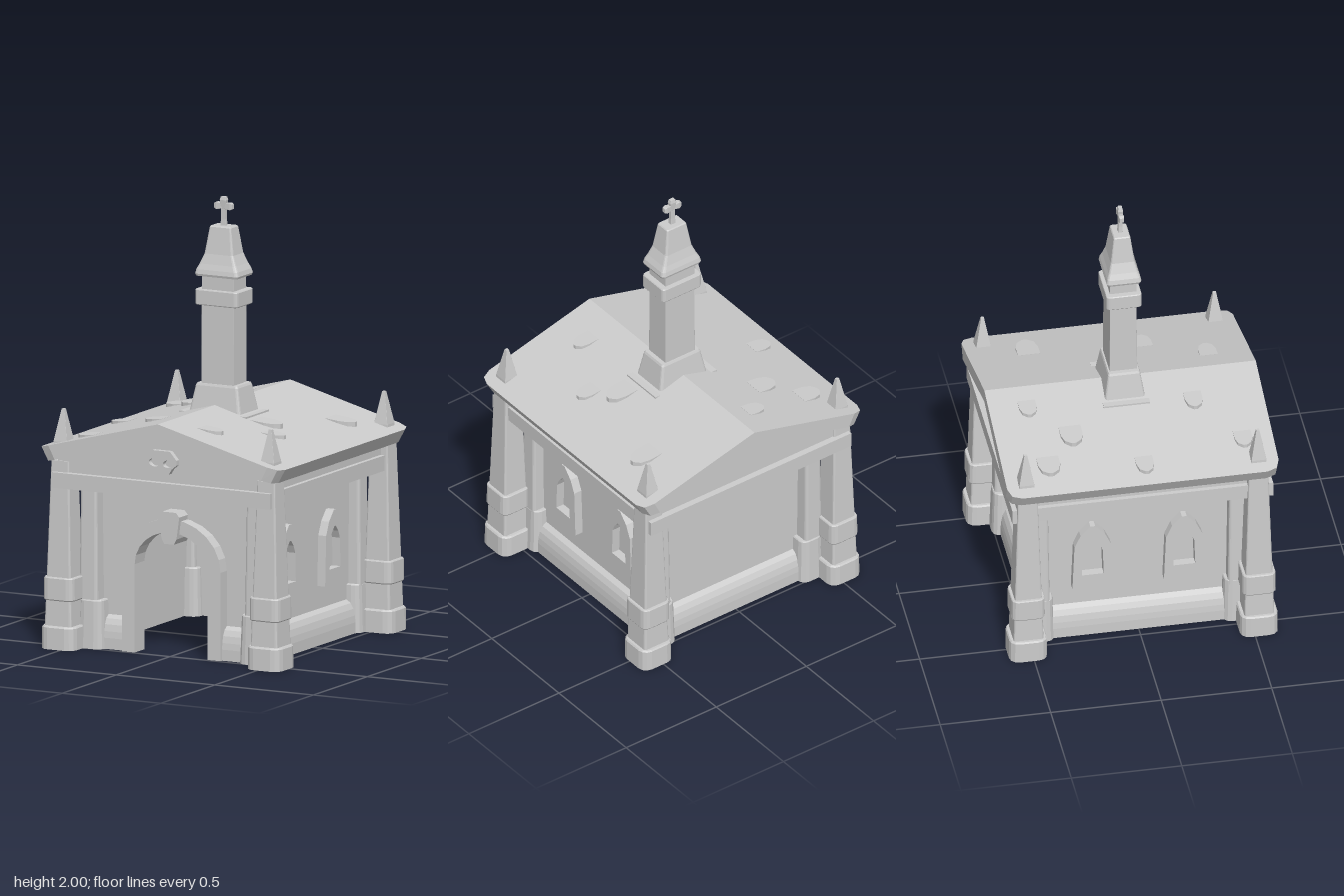
import * as THREE from 'three';

const material = new THREE.MeshStandardMaterial({ color: 0xcccccc, flatShading: true, side: THREE.DoubleSide });

function add(parent, name, geometry, x = 0, y = 0, z = 0) {
  const mesh = new THREE.Mesh(geometry, material);
  mesh.name = name;
  mesh.position.set(x, y, z);
  parent.add(mesh);
  return mesh;
}

// Skin a stack of rings of [x, y, z] points, bottom to top, with both ends closed
function loft(rings) {
  const out = [];
  const tri = (a, b, c) => out.push(...a, ...b, ...c);
  const n = rings[0].length;
  for (let r = 0; r < rings.length - 1; r++) {
    const a = rings[r], b = rings[r + 1];
    for (let i = 0; i < n; i++) {
      const j = (i + 1) % n;
      tri(a[i], a[j], b[j]);
      tri(a[i], b[j], b[i]);
    }
  }
  const lo = rings[0], hi = rings[rings.length - 1];
  for (let i = 1; i < n - 1; i++) {
    tri(lo[0], lo[i + 1], lo[i]);
    tri(hi[0], hi[i], hi[i + 1]);
  }
  const g = new THREE.BufferGeometry();
  g.setAttribute('position', new THREE.Float32BufferAttribute(out, 3));
  g.computeVertexNormals();
  return g;
}

// Rounded-corner rectangular stack from [y, halfWidth, halfDepth] levels
function stack(levels, round = 0.15) {
  return loft(levels.map(([y, w, d = w]) => {
    const r = Math.min(w, d) * round;
    const ring = [];
    for (const [sx, sz, start] of [[1, 1, 90], [1, -1, 0], [-1, -1, -90], [-1, 1, -180]]) {
      for (let i = 0; i <= 3; i++) {
        const a = THREE.MathUtils.degToRad(start - i * 30);
        ring.push([sx * (w - r) + r * Math.cos(a), y, sz * (d - r) + r * Math.sin(a)]);
      }
    }
    return ring;
  }));
}

const polygon = (pts) => new THREE.Shape(pts.map(([x, y]) => new THREE.Vector2(x, y)));
const extrude = (shape, depth) => new THREE.ExtrudeGeometry(shape, { depth, bevelEnabled: false, curveSegments: 12 });

// Round-headed door outline
function archPoints(w, spring, top) {
  const pts = [[w, 0]];
  for (let i = 0; i <= 12; i++) {
    const a = Math.PI * i / 12;
    pts.push([w * Math.cos(a), spring + (top - spring) * Math.sin(a)]);
  }
  pts.push([-w, 0]);
  return pts;
}

// Pointed window outline
const windowPoints = (w, y0, y1) => {
  const h = y1 - y0;
  return [[-w, y0], [w, y0], [w * 0.9, y0 + h * 0.68], [w * 0.6, y0 + h * 0.86], [w * 0.12, y1],
    [-w * 0.12, y1], [-w * 0.6, y0 + h * 0.86], [-w * 0.9, y0 + h * 0.68]];
};

const SLOPE = 0.262, RIDGE = 1.07;
const roofY = (x) => RIDGE - SLOPE * Math.abs(x);

function addCorners(model) {
  for (const sx of [-1, 1]) for (const sz of [-1, 1]) {
    const corner = new THREE.Group();
    corner.name = 'corner';
    model.add(corner);
    const x = 0.522 * sx, z = 0.522 * sz;
    add(corner, 'column', stack([[0, 0.071], [0.85, 0.045]]), x, 0, z);
    add(corner, 'columnBase', stack([[0, 0.086], [0.098, 0.085], [0.105, 0.08]], 0.5), x, 0, z);
    add(corner, 'columnBand', stack([[0.22, 0.073], [0.225, 0.076], [0.32, 0.075], [0.325, 0.072]], 0.4), x, 0, z);
    add(corner, 'pilaster', stack([[0, 0.05], [0.74, 0.04]], 0.3), 0.42 * sx, 0, 0.45 * sz);
    add(corner, 'pilasterBase', stack([[0, 0.065], [0.215, 0.058], [0.22, 0.055]], 0.6), 0.41 * sx, 0, 0.445 * sz);
    add(corner, 'finial', stack([[0.9, 0.036], [0.935, 0.034], [1.08, 0.007]], 0.03), 0.525 * sx, 0, 0.525 * sz);
  }
}

function addWalls(model) {
  // Front wall with the doorway cut out of its outline
  const front = polygon([[0.41, 0], [0.41, 0.71], [-0.41, 0.71], [-0.41, 0], ...archPoints(0.2, 0.4, 0.575).reverse()]);
  add(model, 'frontWall', new THREE.ShapeGeometry(front), 0, 0, 0.43);
  add(model, 'backWall', new THREE.PlaneGeometry(0.82, 0.71).rotateY(Math.PI), 0, 0.355, -0.43);

  const plinth = polygon([[0, 0], [0.045, 0], [0.045, 0.05], [0.042, 0.08], [0.035, 0.11], [0.022, 0.135], [0, 0.15]]);
  // Strip running along x, facing +z
  const strip = (len) => extrude(plinth, len).translate(0, 0, -len / 2).rotateY(-Math.PI / 2);
  add(model, 'backPlinth', strip(0.82), 0, 0, -0.43).rotation.y = Math.PI;
  for (const s of [-1, 1]) {
    add(model, 'frontPlinth', strip(0.17), 0.325 * s, 0, 0.43);
    const side = new THREE.Group();
    side.name = 'sideWall';
    side.rotation.y = s * Math.PI / 2;
    model.add(side);
    add(side, 'wallPanel', new THREE.PlaneGeometry(0.86, 0.71), 0, 0.355, 0.41);
    add(side, 'sidePlinth', strip(0.86), 0, 0, 0.41);
    for (const x of [-0.207, 0.207]) {
      const frame = polygon(windowPoints(0.092, 0.255, 0.59));
      frame.holes.push(polygon(windowPoints(0.05, 0.325, 0.515)));
      add(side, 'windowFrame', extrude(frame, 0.04), x, 0, 0.41);
    }
  }

  // Door surround and keystone
  const surround = polygon([...archPoints(0.25, 0.4, 0.62), ...archPoints(0.185, 0.4, 0.56).reverse()]);
  add(model, 'doorFrame', extrude(surround, 0.09), 0, 0, 0.4);
  const key = polygon([[-0.025, 0.51], [0.025, 0.51], [0.038, 0.535], [0.052, 0.635], [0.035, 0.655],
    [-0.035, 0.655], [-0.052, 0.635], [-0.038, 0.535]]);
  add(model, 'keystone', extrude(key, 0.12), 0, 0, 0.39);
}

function addRoof(model) {
  add(model, 'entablature', new THREE.BoxGeometry(1.11, 0.07, 1.18), 0, 0.765, 0);
  add(model, 'gable', extrude(polygon([[-0.535, 0.79], [0.535, 0.79], [0.535, 0.867], [0, 1.01], [-0.535, 0.867]]), 1.12), 0, 0, -0.56);

  // Each roof half is a sloping slab with rounded-off corners
  const edge = [[0, 0.614], [0.555, 0.614], [0.598, 0.598], [0.614, 0.555]];
  const outline = [...edge, ...edge.map(([x, z]) => [x, -z]).reverse()];
  const half = loft([
    outline.map(([x, z]) => [x * 0.943, roofY(x) - 0.062, z]),
    outline.map(([x, z]) => [x, roofY(x), z]),
  ]);
  for (const a of [0, Math.PI]) add(model, 'roofSlope', half).rotation.y = a;

  // Loose tiles: upper edge sunk in the slope, rounded lower edge lifted
  const tiles = [[-0.4, -0.405, 0.11, 0.1], [-0.08, -0.44, 0.095, 0.08], [-0.245, -0.275, 0.115, 0.1],
    [-0.455, 0.02, 0.1, 0.08], [-0.13, 0.3, 0.1, 0.08], [-0.375, 0.48, 0.095, 0.08],
    [0.35, -0.345, 0.13, 0.1], [0.19, 0.05, 0.13, 0.1], [0.3, 0.165, 0.1, 0.08], [0.12, 0.425, 0.105, 0.08]];
  for (const [x, z, len, w] of tiles) {
    const plan = [[0, w / 2], [len * 0.5, w / 2], [len * 0.83, w * 0.38], [len, w * 0.1],
      [len, -w * 0.1], [len * 0.83, -w * 0.38], [len * 0.5, -w / 2], [0, -w / 2]];
    const level = (lift) => plan.map(([px, pz]) => [px, lift - px * 0.1, pz]);
    add(model, 'roofTile', loft([level(-0.022), level(0)]), x, roofY(x) + 0.001, z).rotation.y = x < 0 ? Math.PI : 0;
  }

  // Carved skull on the front gable
  const skull = polygon([[-0.04, -0.052], [0.04, -0.052], [0.055, -0.028], [0.079, -0.008], [0.079, 0.014],
    [0.045, 0.052], [-0.045, 0.052], [-0.079, 0.014], [-0.079, -0.008], [-0.055, -0.028]]);
  for (const s of [-1, 1]) {
    const eye = new THREE.Path();
    eye.absellipse(s * 0.036, -0.004, 0.026, 0.017, 0, Math.PI * 2, false, s * 0.25);
    skull.holes.push(eye);
  }
  add(model, 'gableSkull', extrude(skull, 0.025), 0, 0.893, 0.56);
}

function addTower(model) {
  const tower = new THREE.Group();
  tower.name = 'tower';
  model.add(tower);
  // Shallow flashing whose outer lips rise just clear of the slopes
  const lip = roofY(0.17) + 0.008;
  const flashing = polygon([[-0.17, lip - 0.025], [0.17, lip - 0.025], [0.17, lip], [-0.17, lip]]);
  add(tower, 'flashing', extrude(flashing, 0.21), 0, 0, -0.105);
  add(tower, 'towerFoot', stack([[1.02, 0.132, 0.093], [1.15, 0.107, 0.073], [1.16, 0.102, 0.069]]));
  add(tower, 'towerShaft', stack([[1.1, 0.082, 0.062], [1.65, 0.08, 0.06]], 0.03));
  add(tower, 'towerBand', stack([[1.515, 0.105, 0.078], [1.519, 0.108, 0.08], [1.581, 0.108, 0.08], [1.585, 0.105, 0.078]], 0.2));
  add(tower, 'towerCap', stack([[1.645, 0.106, 0.076], [1.655, 0.11, 0.079], [1.675, 0.105, 0.075], [1.7, 0.092, 0.066],
    [1.745, 0.073, 0.054], [1.865, 0.054, 0.038], [1.87, 0.05, 0.034]], 0.2));
  add(tower, 'crossStem', stack([[1.86, 0.014, 0.011], [1.9, 0.011, 0.009], [1.945, 0.011, 0.009], [1.985, 0.016, 0.012], [2, 0.012, 0.009]]));
  add(tower, 'crossArm', stack([[-0.046, 0.011, 0.009], [-0.034, 0.017, 0.012], [0, 0.011, 0.009],
    [0.034, 0.017, 0.012], [0.046, 0.011, 0.009]]).rotateZ(Math.PI / 2), 0, 1.958, 0);
}

export function createModel() {
  const model = new THREE.Group();
  model.name = 'mausoleum';
  addCorners(model);
  addWalls(model);
  addRoof(model);
  addTower(model);
  return model;
}
